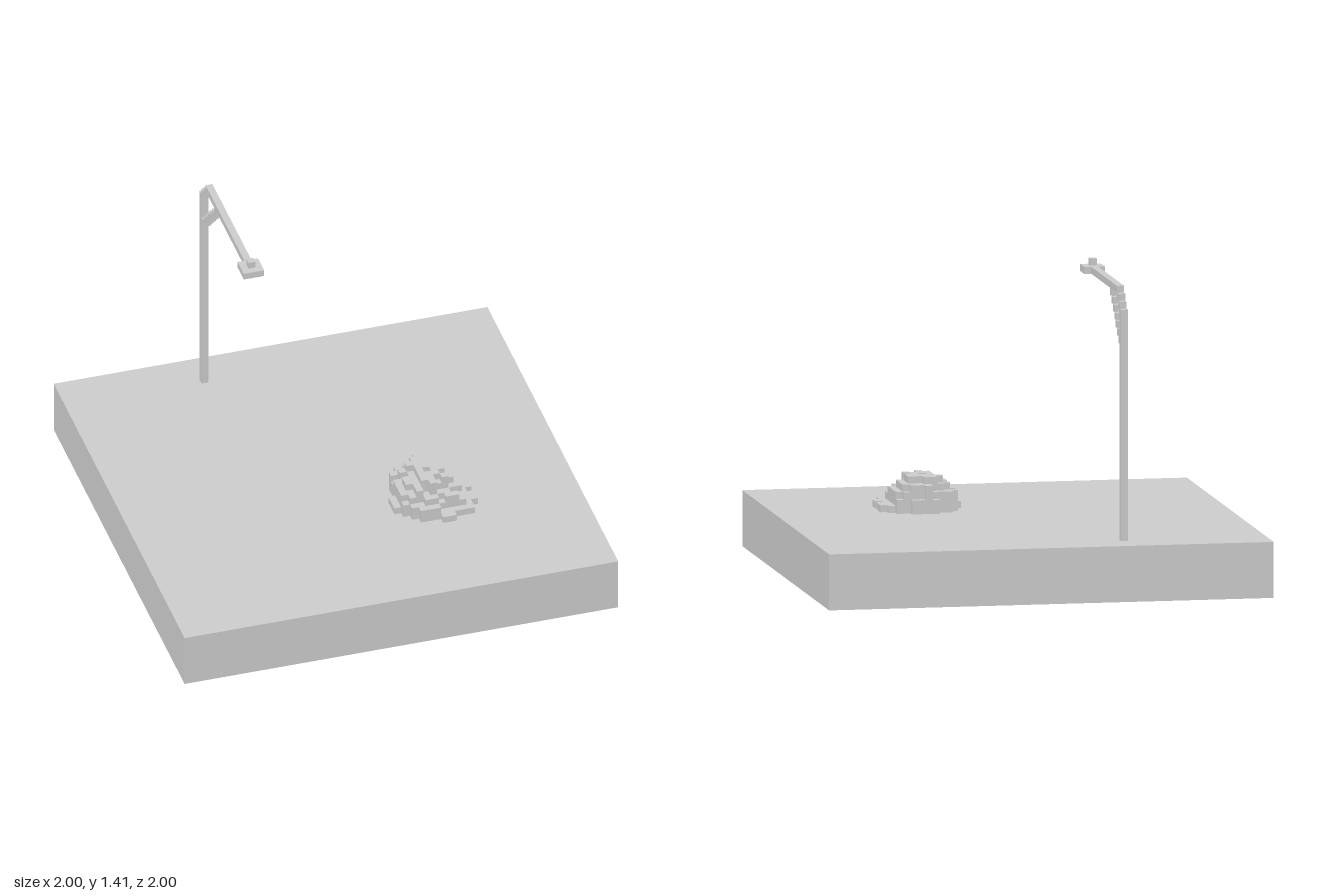
import * as THREE from 'three';

const N = 64, V = 2 / N; // voxel grid: 64 cells across the longest side

export function createModel() {
  const model = new THREE.Group();
  const material = new THREE.MeshStandardMaterial({ color: 0xcccccc, flatShading: true });

  // Box filling cells (x, y, z) to (x + w, y + h, z + d)
  const block = (parent, name, x, y, z, w = 1, h = 1, d = 1) => {
    const mesh = new THREE.Mesh(new THREE.BoxGeometry(w * V, h * V, d * V), material);
    mesh.position.set((x + w / 2) * V - 1, (y + h / 2) * V, (z + d / 2) * V - 1);
    mesh.name = name;
    parent.add(mesh);
  };
  const group = (name) => {
    const g = new THREE.Group();
    g.name = name;
    model.add(g);
    return g;
  };

  // Ground slab
  block(model, 'groundSlab', 0, 0, 0, N, 8, N);

  // Street lamp: post, arm, stepped elbow and brace, head with cap
  const lamp = group('streetLamp');
  block(lamp, 'post', 20, 8, 5, 1, 33, 1);
  for (let i = 0; i < 2; i++) block(lamp, 'elbowStep', 20, 41 + i, 6 + i);
  for (let i = 0; i < 7; i++) block(lamp, 'braceStep', 20, 36 + i, 6 + i);
  block(lamp, 'arm', 20, 43, 8, 1, 1, 19);
  block(lamp, 'lampHead', 19, 43, 27, 3, 1, 3);
  block(lamp, 'lampCap', 20, 44, 28);

  // Rubble heap: ragged dome of columns, one [first, last] x span per z row
  const heap = group('rubbleHeap');
  const spans = [[41, 44], [39, 46], [38, 47], [38, 48], [38, 48], [37, 48],
    [37, 47], [37, 48], [38, 48], [39, 47], [40, 47], [43, 44]];
  let seed = 7;
  const random = () => (seed = (seed * 16807) % 2147483647) / 2147483647;
  spans.forEach(([first, last], row) => {
    const z = 36 + row;
    for (let x = first; x <= last; x++) {
      const d = Math.hypot(x - 42.2, z - 40.6);
      const dome = 5.3 * (1 - (d / 6.8) ** 2) + (random() - 0.5) * 1.8;
      const limit = x < 38 || x > 46 ? 1 : x < 39 || x > 45 ? 3 : x < 40 || x > 44 ? 4 : 5;
      const h = THREE.MathUtils.clamp(Math.round(dome), 1, limit);
      block(heap, 'rubbleColumn', x, 8, z, 1, h, 1);
    }
  });

  return model;
}
